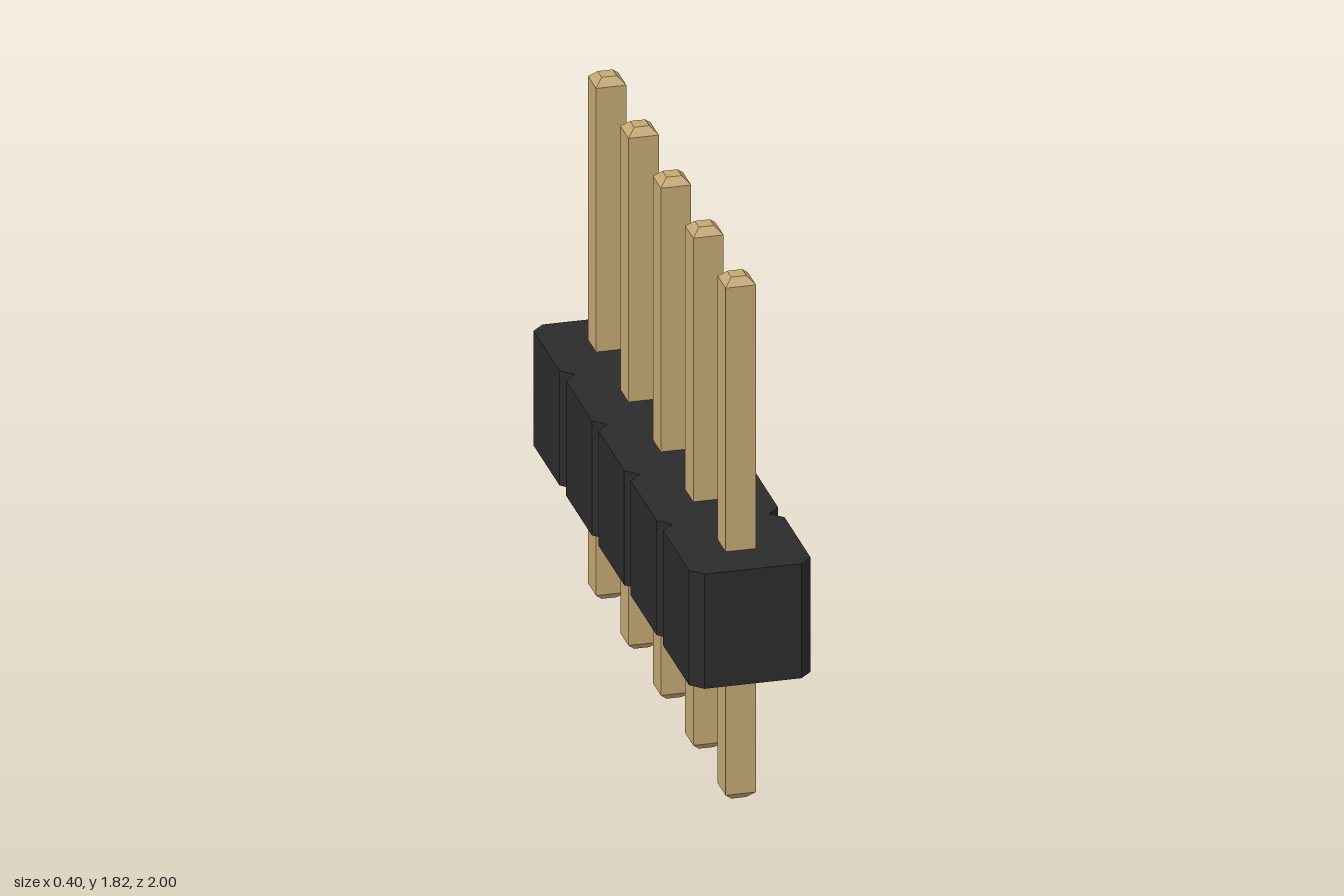
import * as THREE from 'three';

const PINS = 5, PITCH = 0.4, HALF = 0.2, CUT = 0.04;

// Square pin with chamfered ends: a four-sided lathe
function pinGeometry(height, half, chamfer) {
  const tip = half - chamfer;
  const profile = [
    [0, 0], [tip, 0], [half, chamfer],
    [half, height - chamfer], [tip, height], [0, height],
  ].map(([r, y]) => new THREE.Vector2(r * Math.SQRT2, y));
  const geometry = new THREE.LatheGeometry(profile, 4, Math.PI / 4).toNonIndexed();
  geometry.computeVertexNormals();
  return geometry;
}

// Row of square cells with cut corners, joined into one outline
function housingGeometry(bottom, top) {
  const start = -PINS * PITCH / 2;
  const side = [];
  for (let i = 0; i < PINS; i++) {
    const z = start + i * PITCH;
    side.push([HALF - CUT, z], [HALF, z + CUT], [HALF, z + PITCH - CUT]);
  }
  side.push([HALF - CUT, -start]);
  const mirrored = side.map(([x, z]) => [-x, z]).reverse();
  const shape = new THREE.Shape([...side, ...mirrored].map(([x, z]) => new THREE.Vector2(x, z)));
  const geometry = new THREE.ExtrudeGeometry(shape, { depth: top - bottom, bevelEnabled: false });
  return geometry.rotateX(Math.PI / 2).translate(0, top, 0);
}

export function createModel() {
  const group = new THREE.Group();
  group.name = 'pinHeader';

  const plastic = new THREE.MeshStandardMaterial({ color: 0x2b2b2b, flatShading: true });
  const metal = new THREE.MeshStandardMaterial({ color: 0xc4a873, flatShading: true });

  const housing = new THREE.Mesh(housingGeometry(0.475, 0.875), plastic);
  housing.name = 'housing';
  group.add(housing);

  // Pins run through the housing, one per cell
  const geometry = pinGeometry(1.82, 0.05, 0.025);
  for (let i = 0; i < PINS; i++) {
    const pin = new THREE.Mesh(geometry, metal);
    pin.name = `pin${i + 1}`;
    pin.position.z = (i - (PINS - 1) / 2) * PITCH;
    group.add(pin);
  }
  return group;
}
